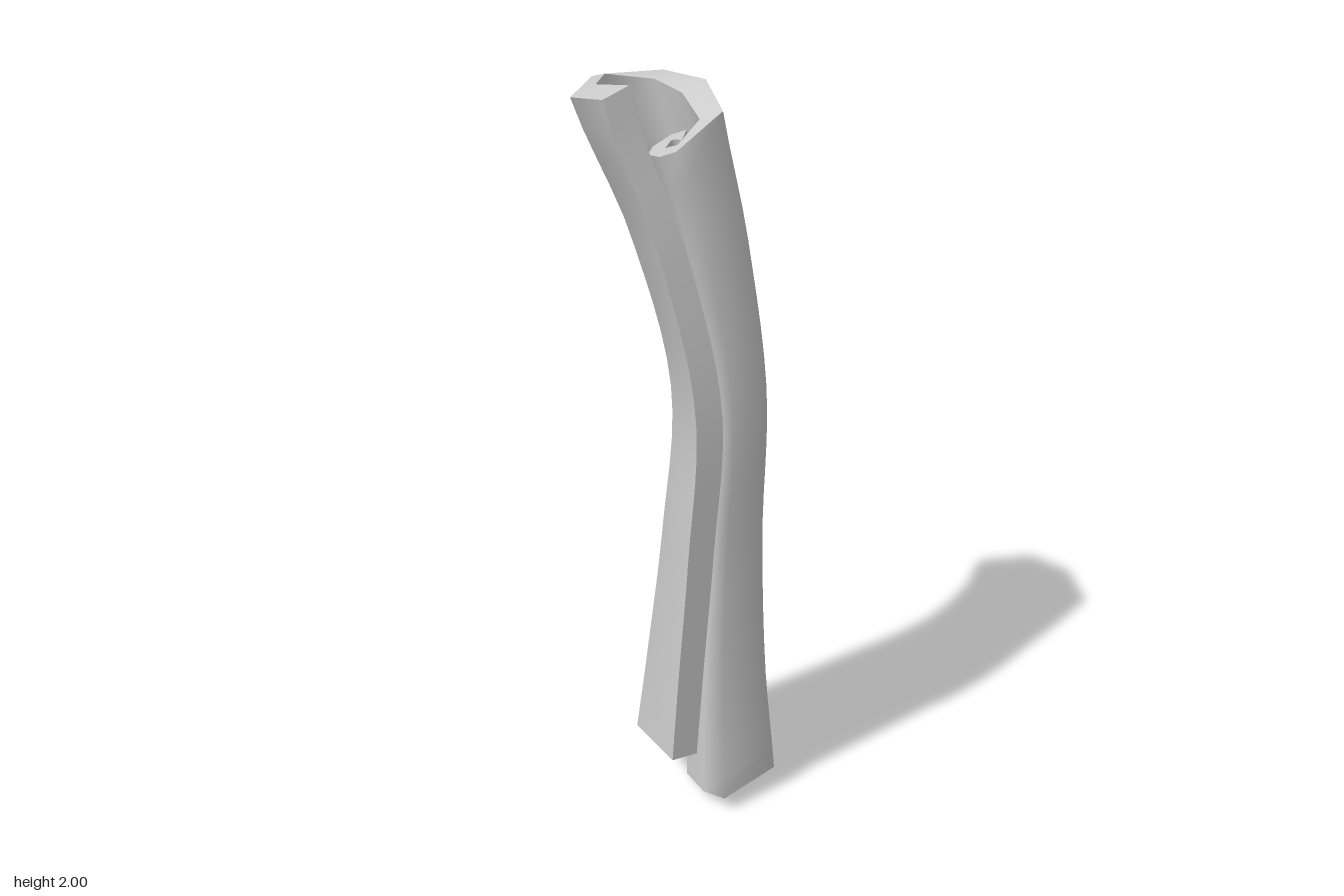
import * as THREE from 'three';

// Stations along the rolled sheet: [outer x, outer z, inner x, inner z, top level, bottom y]
const STATIONS = [
  [-0.155, 0.22, -0.092, 0.185, 2.037, 0.195],
  [-0.26, 0.04, -0.193, 0.02, 2.037, 0.182],
  [-0.23, -0.185, -0.19, -0.145, 2.02, 0.157],
  [-0.05, -0.222, -0.07, -0.16, 1.957, 0.133],
  [0.062, -0.12, 0.0, -0.085, 1.915, 0.108],
  [0.105, 0.06, 0.042, 0.04, 1.868, 0.07],
  [-0.02, 0.175, -0.02, 0.12, 1.853, 0.043],
  [-0.075, 0.125, -0.05, 0.075, 1.847, 0.03],
  [-0.12, 0.03, -0.065, 0.05, 1.842, 0.02],
  [-0.115, -0.05, -0.055, -0.02, 1.837, 0.013],
  [-0.06, -0.1, -0.045, -0.035, 1.832, 0.005],
  [-0.015, -0.095, -0.025, -0.02, 1.827, 0.0],
];
const LEFT = -0.26, WIDTH = 0.365, STEPS = 24;

// Left and right limits of the bent stick, at even heights from 0 to 2
const limit = (xs) => new THREE.SplineCurve(xs.map((x, i) => new THREE.Vector2(i, x)));
const leftLimit = limit([-0.14, -0.095, -0.05, -0.027, -0.125, -0.28]);
const rightLimit = limit([0.26, 0.225, 0.21, 0.213, 0.16, 0.085]);

function bend(x, y) {
  const t = THREE.MathUtils.clamp(y / 2, 0, 1);
  const l = leftLimit.getPoint(t).y, r = rightLimit.getPoint(t).y;
  return l + (r - l) * (x - LEFT) / WIDTH;
}

// One lengthwise line of points, from bottom to top
function column(station, i, inner) {
  const [ox, oz, ix, iz, level, bottom] = station;
  const x = inner ? ix : ox, z = inner ? iz : oz;
  const top = level + 0.4 * x;
  const points = [];
  for (let j = 0; j <= STEPS; j++) {
    const y = THREE.MathUtils.lerp(bottom, top, j / STEPS);
    // the outer flap keeps its thickness where the stick narrows
    const px = inner && i < 3 ? bend(ox, y) + ix - ox : bend(x, y);
    points.push(new THREE.Vector3(px, y, z));
  }
  return points;
}

// Smooth sheet through rows of points
function sheet(rows) {
  const n = rows[0].length, index = [];
  for (let i = 0; i < rows.length - 1; i++) {
    for (let j = 0; j < n - 1; j++) {
      const a = i * n + j, b = a + n;
      index.push(a, a + 1, b, a + 1, b + 1, b);
    }
  }
  const geometry = new THREE.BufferGeometry().setFromPoints(rows.flat());
  geometry.setIndex(index);
  geometry.computeVertexNormals();
  return geometry;
}

export function createModel() {
  const group = new THREE.Group();
  group.name = 'rolledBarkStick';
  const material = new THREE.MeshStandardMaterial({ color: 0xcccccc, side: THREE.DoubleSide });
  const add = (name, rows) => {
    const mesh = new THREE.Mesh(sheet(rows), material);
    mesh.name = name;
    group.add(mesh);
  };

  const outer = STATIONS.map((s, i) => column(s, i, false));
  const inner = STATIONS.map((s, i) => column(s, i, true));
  const last = STATIONS.length - 1;

  // Both faces of the bark
  add('outerBark', outer);
  add('innerBark', [...inner].reverse());

  // Cut ends of the roll
  add('topCut', outer.map((c, i) => [c[STEPS], inner[i][STEPS]]));
  add('bottomCut', outer.map((c, i) => [inner[i][0], c[0]]));

  // Long edges of the bark
  add('flapEdge', [inner[0], outer[0]]);
  add('coreEdge', [outer[last], inner[last]]);
  return group;
}
